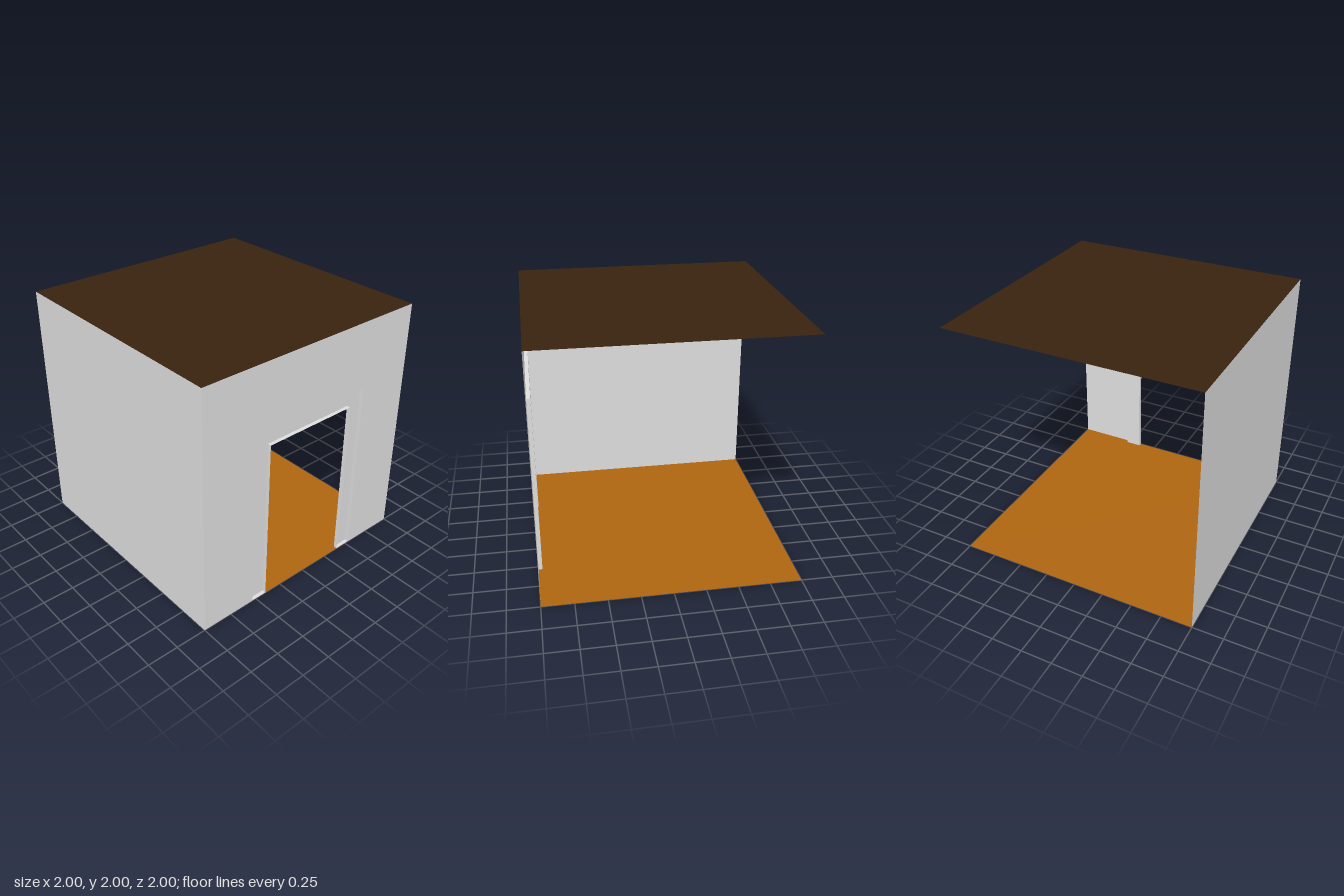
import * as THREE from 'three';

const material = (name, color) =>
  Object.assign(new THREE.MeshStandardMaterial({ color, side: THREE.DoubleSide }), { name });

export function createModel() {
  const room = new THREE.Group();
  room.name = 'room';
  const plaster = material('pale grey plaster', 0xdddddd);
  const wood = material('orange brown floor', 0xad6410);
  const dark = material('dark brown ceiling', 0x38230f);

  const add = (name, geometry, mat, parent = room) => {
    const mesh = new THREE.Mesh(geometry, mat);
    mesh.name = name;
    parent.add(mesh);
    return mesh;
  };

  // Upside-down U, standing on y = 0, around a doorway
  const arch = (w, h, iw, ih) => new THREE.ShapeGeometry(new THREE.Shape([
    [-w, 0], [-iw, 0], [-iw, ih], [iw, ih], [iw, 0], [w, 0], [w, h], [-w, h],
  ].map(([x, y]) => new THREE.Vector2(x, y))));

  // Floor and ceiling sheets
  add('floor', new THREE.PlaneGeometry(2, 2).rotateX(-Math.PI / 2), wood);
  add('ceiling', new THREE.PlaneGeometry(2, 2).rotateX(-Math.PI / 2), dark).position.y = 2;

  // Walls: one closed side, and the front with its doorway
  add('sideWall', new THREE.PlaneGeometry(2, 2).rotateY(Math.PI / 2), plaster).position.set(-1, 1, 0);
  const outer = { w: 0.535, h: 1.47 }, inner = { w: 0.4, h: 1.34 };
  add('frontWall', arch(1, 2, outer.w, outer.h), plaster).position.z = 1;

  // Door surround: a shallow channel sunk into the wall
  const depth = 0.03, midZ = 1 - depth / 2;
  const surround = new THREE.Group();
  surround.name = 'doorSurround';
  room.add(surround);
  add('surroundFace', arch(outer.w, outer.h, inner.w, inner.h), plaster, surround).position.z = 1 - depth;
  for (const { w, h } of [outer, inner]) {
    for (const side of [-1, 1]) {
      add('surroundReturn', new THREE.PlaneGeometry(depth, h).rotateY(Math.PI / 2), plaster, surround)
        .position.set(side * w, h / 2, midZ);
    }
    add('surroundHead', new THREE.PlaneGeometry(2 * w, depth).rotateX(-Math.PI / 2), plaster, surround)
      .position.set(0, h, midZ);
  }
  // Feet closing the channel at the floor
  for (const side of [-1, 1]) {
    add('surroundFoot', new THREE.PlaneGeometry(outer.w - inner.w, depth).rotateX(-Math.PI / 2), plaster, surround)
      .position.set(side * (outer.w + inner.w) / 2, 0.002, midZ);
  }
  return room;
}
